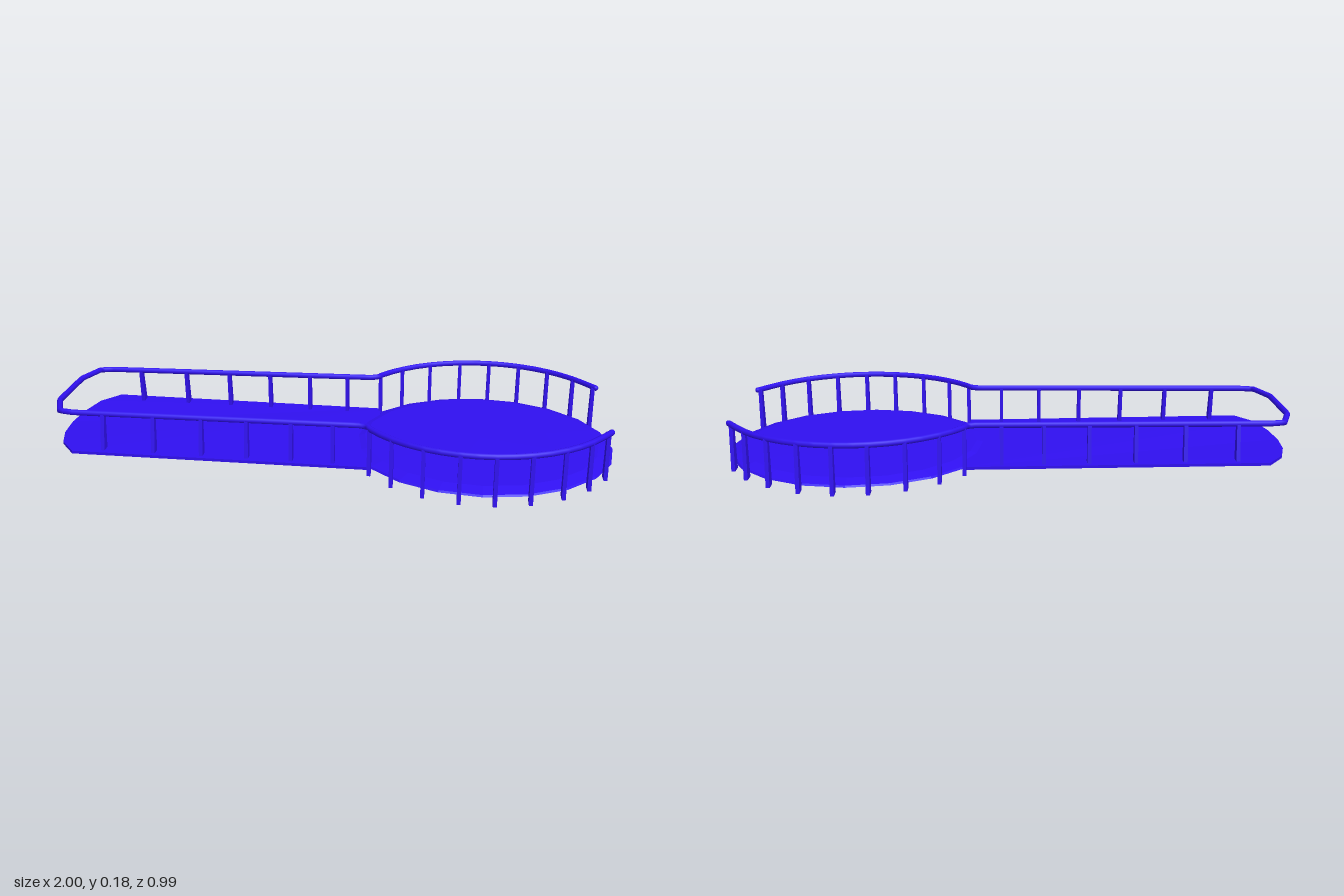
import * as THREE from 'three';

const CX = 0.53;      // centre of the round deck
const RAIL_Y = 0.165;

export function createModel() {
  const root = new THREE.Group();
  root.name = 'railedPlatform';
  const smooth = new THREE.MeshStandardMaterial({ color: 0x3010f0 });
  const flat = new THREE.MeshStandardMaterial({ color: 0x3010f0, flatShading: true });
  const add = (name, geometry, material, parent = root) => {
    const mesh = new THREE.Mesh(geometry, material);
    mesh.name = name;
    parent.add(mesh);
    return mesh;
  };

  // Round deck: flat below, thin sloping rim, shallow dome above
  const profile = [[0, 0.015], [0.47, 0.015], [0.465, 0.021], [0.42, 0.033], [0.25, 0.035], [0, 0.036]]
    .map(([r, y]) => new THREE.Vector2(r, y));
  const deck = add('roundDeck', new THREE.LatheGeometry(profile, 20, Math.PI / 2), flat);
  deck.scale.z = 0.97;
  deck.position.x = CX;

  // Long walkway with a rounded end, rising gently towards -x
  const topY = (x) => 0.042 - 0.0143 * (x + 0.95);
  const half = [[0.15, 0.285], [-0.895, 0.29], [-0.955, 0.21], [-0.985, 0.11]];
  const outline = [...half, [-0.995, 0], ...half.map(([x, z]) => [x, -z]).reverse()];
  const plank = new THREE.ExtrudeGeometry(
    new THREE.Shape(outline.map(([x, z]) => new THREE.Vector2(x, z))),
    { depth: 0.01, bevelEnabled: false });
  plank.rotateX(-Math.PI / 2);
  const p = plank.attributes.position;
  for (let i = 0; i < p.count; i++) {
    const x = p.getX(i);
    const droop = Math.max(0, -0.95 - x) * 0.2;
    p.setY(i, p.getY(i) - 0.01 + topY(x) - droop);
  }
  plank.computeVertexNormals();
  add('walkway', plank, flat);

  // One handrail: arc, straight, rounded end, then the mirror image
  const side = [];
  for (let i = 0; i <= 16; i++) {
    const a = THREE.MathUtils.degToRad(28 + (143.5 - 28) * i / 16);
    side.push([CX + 0.473 * Math.cos(a) + (i === 0 ? 0.006 : 0), 0.473 * Math.sin(a)]);
  }
  side.push([0.14, 0.26], [0.11, 0.25], [-0.9, 0.237], [-0.95, 0.225], [-0.988, 0.12]);
  const railPoints = [...side, ...side.map(([x, z]) => [x, -z]).reverse()]
    .map(([x, z]) => new THREE.Vector3(x, RAIL_Y, z));
  const path = new THREE.CurvePath();
  for (let i = 1; i < railPoints.length; i++) path.add(new THREE.LineCurve3(railPoints[i - 1], railPoints[i]));
  add('handrail', new THREE.TubeGeometry(path, 260, 0.0105, 8, false), smooth);
  for (const end of [railPoints[0], railPoints[railPoints.length - 1]]) {
    add('handrailEnd', new THREE.SphereGeometry(0.0105, 8, 6), smooth).position.copy(end);
  }

  // Tapered post: narrow along x, wider at the foot, leaning in to the rail
  function addPost(parent, name, x, footY, footZ, topZ, footDepth, topDepth) {
    const g = new THREE.BoxGeometry(0.013, 1, 1);
    const v = g.attributes.position;
    for (let i = 0; i < v.count; i++) {
      const up = v.getY(i) > 0;
      v.setZ(i, (up ? topZ : footZ) + v.getZ(i) * (up ? topDepth : footDepth));
      v.setY(i, up ? RAIL_Y : footY);
    }
    g.computeVertexNormals();
    add(name, g, flat, parent).position.x = x;
  }
  const walkwayPostX = [-0.79, -0.61, -0.44, -0.28, -0.125, 0.02];
  const deckPostX = [0.147, 0.227, 0.334, 0.452, 0.567, 0.682, 0.79, 0.88, 0.944];
  for (const s of [1, -1]) {
    const posts = new THREE.Group();
    posts.name = s > 0 ? 'frontPosts' : 'backPosts';
    root.add(posts);
    for (const x of walkwayPostX) {
      addPost(posts, 'walkwayPost', x, topY(x) - 0.006, s * 0.255, s * (0.248 + 0.013 * x), 0.034, 0.02);
    }
    for (const x of deckPostX) {
      const z = Math.sqrt(0.473 ** 2 - (x - CX) ** 2);
      addPost(posts, 'deckPost', x, 0, s * (z + 0.002), s * (z - 0.002), 0.04, 0.024);
    }
  }
  return root;
}
